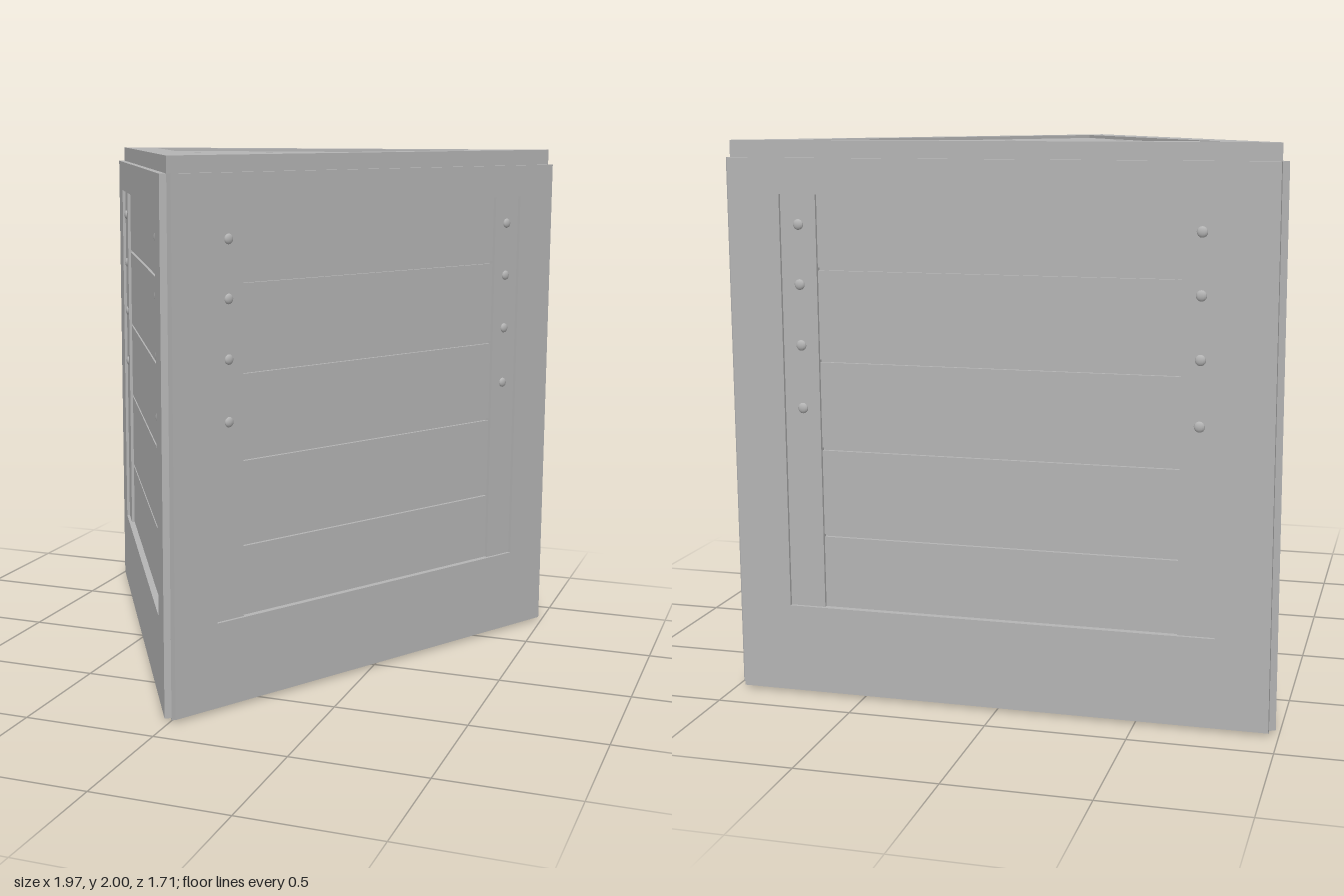
import * as THREE from 'three';

const SIDE = 1.93;                       // length of one crate side
const IN_R = SIDE / (2 * Math.sqrt(3));  // centroid to side
const CZ = -0.273;                       // z of the triangle's centroid

const grey = new THREE.MeshStandardMaterial({ color: 0xb4b4b4 });
grey.name = 'grey';

function add(parent, name, geometry, x = 0, y = 0, z = 0) {
  const mesh = new THREE.Mesh(geometry, grey);
  mesh.name = name;
  mesh.position.set(x, y, z);
  parent.add(mesh);
  return mesh;
}

// Triangle pointing to +z, given its inradius; shape y is -z
function triangle(r) {
  const h = r * Math.sqrt(3);
  return [[-h, r], [0, -2 * r], [h, r]].map(([x, y]) => new THREE.Vector2(x, y));
}

// Extrude a floor plan upwards from y0 to y1
function slab(parent, name, points, y0, y1, hole) {
  const shape = new THREE.Shape(points);
  if (hole) shape.holes.push(new THREE.Path(hole));
  const geo = new THREE.ExtrudeGeometry(shape, { depth: y1 - y0, bevelEnabled: false });
  geo.rotateX(-Math.PI / 2);
  return add(parent, name, geo, 0, y0, CZ);
}

// One side: frame, recessed planks, two posts and rivets; faces local +z
function sidePanel() {
  const panel = new THREE.Group();
  const x0 = 0.775, bottom = 0.33, top = 1.815, postW = 0.13;

  const shape = new THREE.Shape();
  shape.moveTo(-SIDE / 2, 0.01).lineTo(SIDE / 2, 0.01);
  shape.lineTo(SIDE / 2, 1.94).lineTo(-SIDE / 2, 1.94).closePath();
  const hole = new THREE.Path();
  hole.moveTo(-x0, bottom).lineTo(-x0, top).lineTo(x0, top).lineTo(x0, bottom).closePath();
  shape.holes.push(hole);
  add(panel, 'sideFrame', new THREE.ExtrudeGeometry(shape, { depth: 0.025, bevelEnabled: false }));

  // Planks separated by narrow grooves
  const seams = [bottom - 0.005, 0.595, 0.912, 1.23, 1.555, top + 0.005];
  for (let i = 0; i < 5; i++) {
    const h = seams[i + 1] - seams[i] - 0.01;
    add(panel, 'sidePlank', new THREE.BoxGeometry(2 * x0, h, 0.02),
      0, (seams[i] + seams[i + 1]) / 2, -0.009);
  }

  for (const s of [-1, 1]) {
    const px = s * (x0 - postW / 2);
    add(panel, 'sidePost', new THREE.BoxGeometry(postW, top - bottom, 0.028),
      px, (top + bottom) / 2, -0.001);
    for (const y of [1.71, 1.5, 1.285, 1.06]) {
      const rivet = add(panel, 'rivet', new THREE.SphereGeometry(0.019, 12, 8), px, y, 0.013);
      rivet.scale.z = 0.5;
    }
  }
  return panel;
}

export function createModel() {
  const crate = new THREE.Group();
  crate.name = 'triangularCrate';

  // Inner core: groove floors and bottom panel
  slab(crate, 'core', triangle(IN_R - 0.012), 0.05, 1.975);

  // Bottom and lid frames
  const hole = triangle(IN_R - 0.125);
  slab(crate, 'bottomFrame', triangle(IN_R), 0, 0.06, hole);
  slab(crate, 'lidFrame', triangle(IN_R), 1.94, 2, hole);

  // Lid planks, running parallel to the back side
  const zs = [-0.71, -0.4, -0.02, 0.3, 0.58];
  const apex = CZ + 2 * (IN_R - 0.125);
  const half = z => Math.max(0.001, (apex - z) / Math.sqrt(3));
  for (let i = 0; i < 4; i++) {
    const a = zs[i] + (i ? 0.005 : 0), b = zs[i + 1] - 0.005;
    const pts = [[-half(a), a], [-half(b), b], [half(b), b], [half(a), a]]
      .map(([x, z]) => new THREE.Vector2(x, CZ - z));
    slab(crate, 'lidPlank', pts, 1.96, 1.988);
  }

  // Three identical sides around the centroid
  for (const [name, angle] of [['leftSide', 1], ['backSide', 3], ['rightSide', 5]]) {
    const a = angle * Math.PI / 3;
    const panel = sidePanel();
    panel.name = name;
    panel.rotation.y = a;
    panel.position.set(Math.sin(a) * IN_R, 0, CZ + Math.cos(a) * IN_R);
    crate.add(panel);
  }
  return crate;
}
